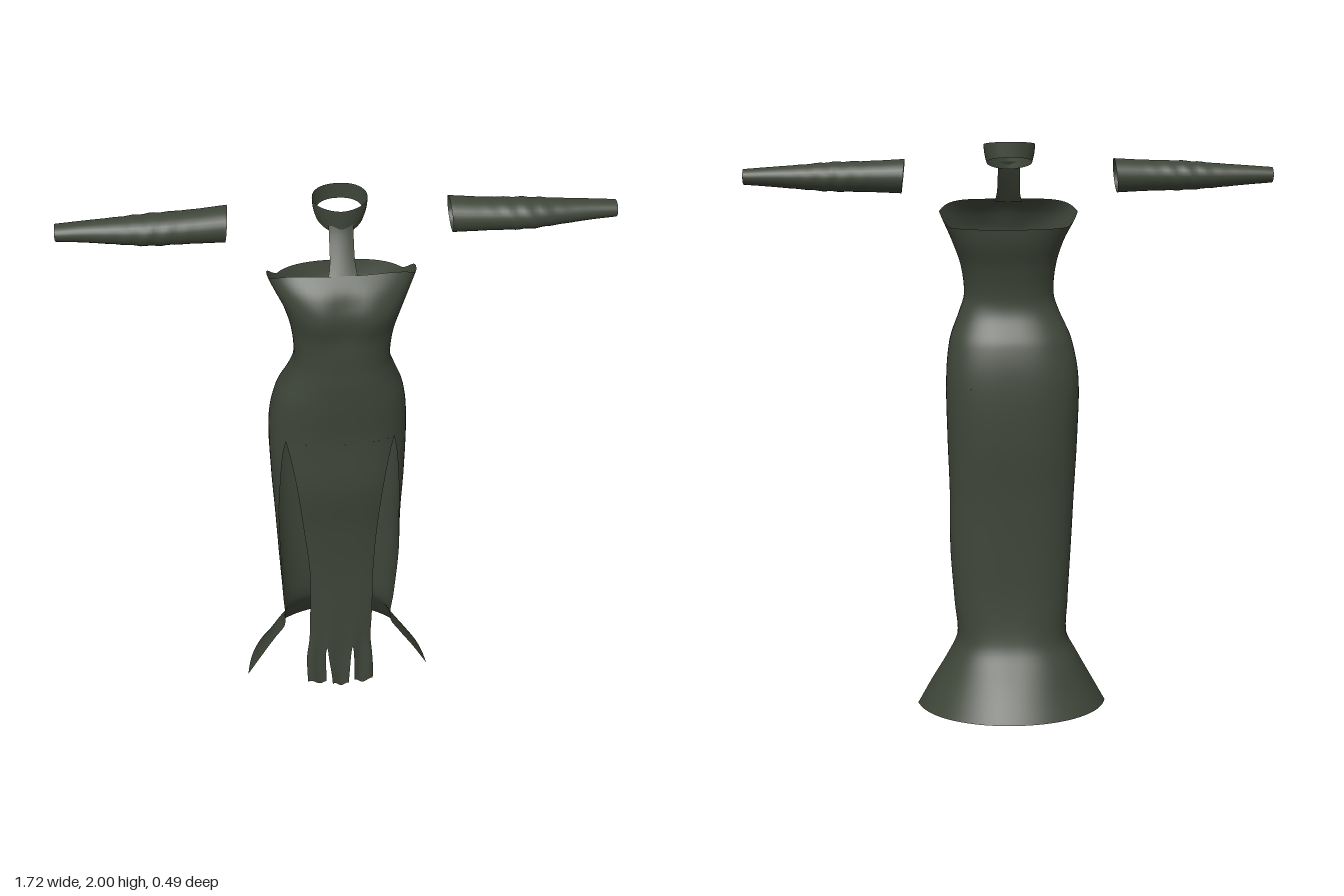
import * as THREE from 'three';
import { mergeVertices } from 'three/addons/utils/BufferGeometryUtils.js';

// Dress cross-sections: y, right x, left x, front z, widest z, back z, roundness
const SECTIONS = [
  [0.0, -0.35, 0.33, 0.18, 0.05, -0.285, 1],
  [0.1, -0.295, 0.275, 0.18, 0.05, -0.2, 0.95],
  [0.2, -0.24, 0.215, 0.178, 0.05, -0.13, 0.85],
  [0.27, -0.205, 0.183, 0.178, 0.055, -0.09, 0.8],
  [0.4, -0.207, 0.192, 0.178, 0.055, -0.07, 0.75],
  [0.6, -0.217, 0.205, 0.18, 0.06, -0.064, 0.75],
  [0.8, -0.226, 0.205, 0.195, 0.065, -0.066, 0.75],
  [1.0, -0.236, 0.211, 0.22, 0.075, -0.075, 0.75],
  [1.2, -0.238, 0.213, 0.22, 0.075, -0.07, 0.75],
  [1.33, -0.215, 0.2, 0.23, 0.095, -0.045, 0.78],
  [1.42, -0.175, 0.168, 0.235, 0.11, 0.0, 0.8],
  [1.48, -0.155, 0.15, 0.235, 0.12, 0.008, 0.8],
  [1.58, -0.16, 0.16, 0.24, 0.11, -0.01, 0.8],
  [1.67, -0.185, 0.19, 0.255, 0.09, -0.04, 0.8],
  [1.74, -0.22, 0.22, 0.228, 0.08, -0.052, 0.8],
  [1.8, -0.245, 0.245, 0.175, 0.08, -0.06, 0.8],
];

// Slit edges as angles from the front: y, panel edge, skirt edge
const SLIT = [
  [0.0, 0.35, 1.55], [0.2, 0.48, 1.5], [0.27, 0.52, 1.47], [0.4, 0.47, 1.42], [0.6, 0.435, 1.3],
  [0.8, 0.5, 1.21], [1.0, 0.585, 1.01], [1.13, 0.7, 0.88], [1.19, 0.8, 0.8],
];
const SLIT_TOP = 1.19;

const { lerp, smoothstep, clamp } = THREE.MathUtils;

// Smooth interpolation of table rows by their first column
function sample(rows, value) {
  const k = clamp(value, rows[0][0], rows.at(-1)[0]);
  let i = 0;
  while (i < rows.length - 2 && k > rows[i + 1][0]) i++;
  const a = rows[i], b = rows[i + 1], h = b[0] - a[0], s = (k - a[0]) / h;
  const p = rows[Math.max(i - 1, 0)], n = rows[Math.min(i + 2, rows.length - 1)];
  return a.map((v, c) => {
    const ma = ((b[c] - p[c]) / (b[0] - p[0])) * h, mb = ((n[c] - v) / (n[0] - a[0])) * h;
    const s2 = s * s, s3 = s2 * s;
    return (2 * s3 - 3 * s2 + 1) * v + (s3 - 2 * s2 + s) * ma + (3 * s2 - 2 * s3) * b[c] + (s3 - s2) * mb;
  });
}

const power = (v, e) => Math.sign(v) * Math.abs(v) ** e;

// Point on the dress at a height and an angle (0 = front, PI/2 = left)
function dressPoint(y, t) {
  const [, xr, xl, zf, zc, zb, e] = sample(SECTIONS, y);
  const sx = power(Math.sin(t), e), cz = power(Math.cos(t), e);
  const x = (xl + xr) / 2 + ((xl - xr) / 2) * sx;
  let z = zc + (cz > 0 ? zf - zc : zc - zb) * cz;
  // shallow dip between the two sides of the bust
  if (cz > 0) z -= 0.014 * Math.exp(-((x / 0.05) ** 2)) * smoothstep(y, 1.52, 1.66) * (1 - smoothstep(y, 1.7, 1.79));
  return [x, y, z];
}

// Grid surface; u runs counter-clockwise and v runs away from its start
function surface(nu, nv, point) {
  const pos = [], index = [];
  for (let j = 0; j <= nv; j++) for (let i = 0; i <= nu; i++) pos.push(...point(i / nu, j / nv));
  for (let j = 0; j < nv; j++) for (let i = 0; i < nu; i++) {
    const a = j * (nu + 1) + i, b = a + nu + 1;
    index.push(a, b, a + 1, b, b + 1, a + 1);
  }
  const g = new THREE.BufferGeometry();
  g.setAttribute('position', new THREE.Float32BufferAttribute(pos, 3));
  g.setIndex(index);
  const merged = mergeVertices(g, 1e-5);
  merged.computeVertexNormals();
  return merged;
}

export function createModel() {
  const model = new THREE.Group();
  const fabric = new THREE.MeshStandardMaterial({ color: 0x3e4538, side: THREE.DoubleSide });
  fabric.name = 'dark olive fabric';
  const add = (name, geometry) => {
    const mesh = new THREE.Mesh(geometry, fabric);
    mesh.name = name;
    model.add(mesh);
  };
  const TAU = Math.PI * 2;

  // Bodice and hips, with a neckline that drops towards the back
  add('bodice', surface(72, 48, (u, v) => {
    const t = u * TAU, c = Math.cos(t);
    const top = 1.72 + 0.045 * smoothstep(c, -0.45, 0.05) + 0.03 * smoothstep(c, 0.1, 0.95);
    return dressPoint(lerp(top, SLIT_TOP, v), t);
  }));

  // Skirt wrapping the sides and back, flaring into a train
  add('skirt', surface(56, 60, (u, v) => {
    const hem = 0.005 + 0.045 * Math.sin(u * Math.PI) ** 0.7;
    const y = lerp(SLIT_TOP, hem, v);
    const edge = sample(SLIT, y)[2];
    return dressPoint(y, lerp(edge, TAU - edge, u));
  }));

  // Front panel between the slits, gently rippled near the hem
  const SPLIT = 0.24;
  const panelPoint = (y, u) => {
    const edge = sample(SLIT, y)[1];
    const p = dressPoint(y, lerp(-edge, edge, u));
    p[2] += 0.007 * Math.sin(u * 22) * (1 - smoothstep(y, 0.1, 0.36));
    return p;
  };
  add('frontPanel', surface(24, 50, (u, v) => panelPoint(lerp(SLIT_TOP, SPLIT, v), u)));

  // Torn strips at the bottom of the panel
  [[0, 0.34, 0.065], [0.34, 0.66, 0.05], [0.66, 1, 0.06]].forEach(([a, b, hem], k) => {
    add('hemStrip' + (k + 1), surface(8, 12, (u, v) => {
      const gap = 0.045 * Math.sqrt(v);
      const from = a + (k > 0 ? gap : 0), to = b - (k < 2 ? gap : 0);
      const y = lerp(SPLIT, hem + 0.012 * Math.sin(u * 7 + k), v);
      return panelPoint(y, lerp(from, to, u));
    }));
  });

  // Neck band, lower and pointed at the front
  add('neckBand', surface(40, 8, (u, v) => {
    const t = u * TAU, front = (1 + Math.cos(t)) / 2;
    const y = lerp(lerp(2.0, 1.975, front), lerp(1.95, 1.9, front), v);
    const w = 0.084 - 0.022 * front * v * v;
    const c = Math.cos(t);
    return [w * power(Math.sin(t), c > 0 ? 1.15 : 0.85) - 0.001, y, 0.038 + (c > 0 ? 0.072 : 0.063) * c];
  }));

  // Strap from neck band to neckline
  add('neckStrap', surface(6, 10, (u, v) => {
    const half = 0.037 + 0.01 * v ** 6;
    const y = lerp(1.925, 1.785, v);
    return [-0.003 + lerp(-half, half, u), y, lerp(0.106, 0.185, v ** 1.15) - 0.006 * (2 * u - 1) ** 2];
  }));

  // Detached sleeves: x, centre y, radius y, centre z, radius z
  const SLEEVE = [
    [0.345, 1.89, 0.055, -0.004, 0.062],
    [0.45, 1.889, 0.05, 0.003, 0.058],
    [0.58, 1.888, 0.047, 0.008, 0.056],
    [0.68, 1.888, 0.039, 0.006, 0.046],
    [0.78, 1.889, 0.031, 0.004, 0.037],
    [0.86, 1.889, 0.025, 0.004, 0.032],
  ];
  for (const [name, side] of [['leftSleeve', 1], ['rightSleeve', -1]]) {
    add(name, surface(28, 40, (u, v) => {
      const a = side * u * TAU;
      const [x, cy, ry, cz, rz] = sample(SLEEVE, lerp(0.345, 0.86, v));
      // faint creases around the elbow
      const r = 1 + 0.03 * Math.sin(x * 110 + 2 * Math.sin(a)) * Math.exp(-(((x - 0.58) / 0.1) ** 2));
      return [side * (x - 0.006 * Math.sin(a) * (1 - v)), cy + ry * r * Math.sin(a), cz + rz * r * Math.cos(a)];
    }));
  }

  return model;
}
